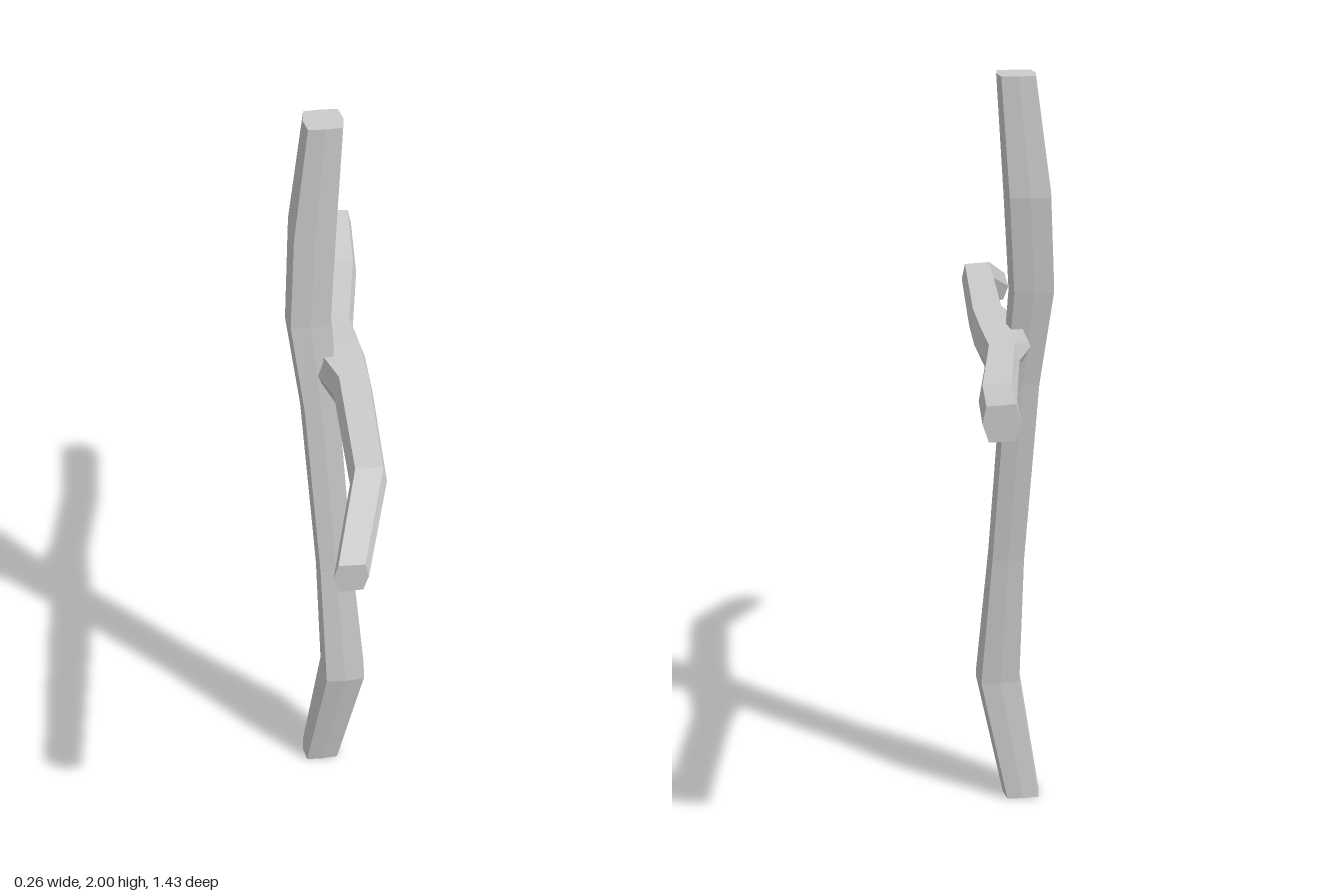
import * as THREE from 'three';

// Closed low-poly branch skinned over a list of rings (each an array of Vector3,
// counter-clockwise when seen from the end of the branch).
function skin(rings, name) {
  const pos = [];
  const tri = (...pts) => pts.forEach((p) => pos.push(p.x, p.y, p.z));
  const n = rings[0].length;
  for (let r = 0; r < rings.length - 1; r++) {
    const a = rings[r], b = rings[r + 1];
    for (let i = 0; i < n; i++) {
      const j = (i + 1) % n;
      tri(a[i], a[j], b[j]);
      tri(a[i], b[j], b[i]);
    }
  }
  const first = rings[0], last = rings[rings.length - 1];
  for (let i = 1; i < n - 1; i++) {
    tri(first[0], first[i + 1], first[i]);
    tri(last[0], last[i], last[i + 1]);
  }
  const geo = new THREE.BufferGeometry();
  geo.setAttribute('position', new THREE.Float32BufferAttribute(pos, 3));
  geo.computeVertexNormals();
  const mat = new THREE.MeshStandardMaterial({ color: 0xcccccc, flatShading: true });
  const mesh = new THREE.Mesh(geo, mat);
  mesh.name = name;
  return mesh;
}

const mix = (lo, hi, t) => (lo + hi) / 2 + (hi - lo) * t;

export function createModel() {
  const group = new THREE.Group();
  group.name = 'crossedSticks';

  // Upright stick: square section with slightly bulging sides, as [z, x] fractions
  const square = [[0.5, 0], [0.47, 0.43], [0, 0.5], [-0.47, 0.43],
    [-0.5, 0], [-0.47, -0.43], [0, -0.5], [0.47, -0.43]];
  // y, min x, max x, min z, max z
  const upright = [
    [0, -0.11, -0.01, -0.045, 0.05],
    [0.34, -0.06, 0.06, -0.025, 0.1],
    [0.7, -0.068, 0.03, -0.04, 0.055],
    [1.2, -0.1, 0.0, -0.085, 0.012],
    [1.45, -0.132, -0.015, -0.12, -0.012],
    [1.7, -0.12, 0.0, -0.143, -0.02],
    [2, -0.08, 0.018, -0.128, -0.03],
  ];
  group.add(skin(upright.map(([y, x0, x1, z0, z1]) =>
    square.map(([u, v]) => new THREE.Vector3(mix(x0, x1, v), y, mix(z0, z1, u)))), 'uprightStick'));

  // Cross stick: uneven six-sided section, as [x, y] fractions
  const hex = [[0.5, 0.0], [0.4, 0.46], [-0.36, 0.5], [-0.5, 0.0], [-0.32, -0.5], [0.34, -0.5]];
  // z, min x, max x, min y, max y; widened where it sinks into the upright
  const cross = [
    [-0.715, 0.04, 0.13, 1.265, 1.355],
    [-0.49, 0.02, 0.112, 1.25, 1.335],
    [-0.2, -0.025, 0.06, 1.255, 1.348],
    [-0.07, -0.08, 0.073, 1.255, 1.358],
    [0.09, -0.03, 0.068, 1.262, 1.364],
    [0.485, -0.046, 0.043, 1.288, 1.38],
    [0.72, -0.118, -0.035, 1.207, 1.285],
  ];
  group.add(skin(cross.map(([z, x0, x1, y0, y1]) =>
    hex.map(([u, v]) => new THREE.Vector3(mix(x0, x1, u), mix(y0, y1, v), z))), 'crossStick'));

  return group;
}
